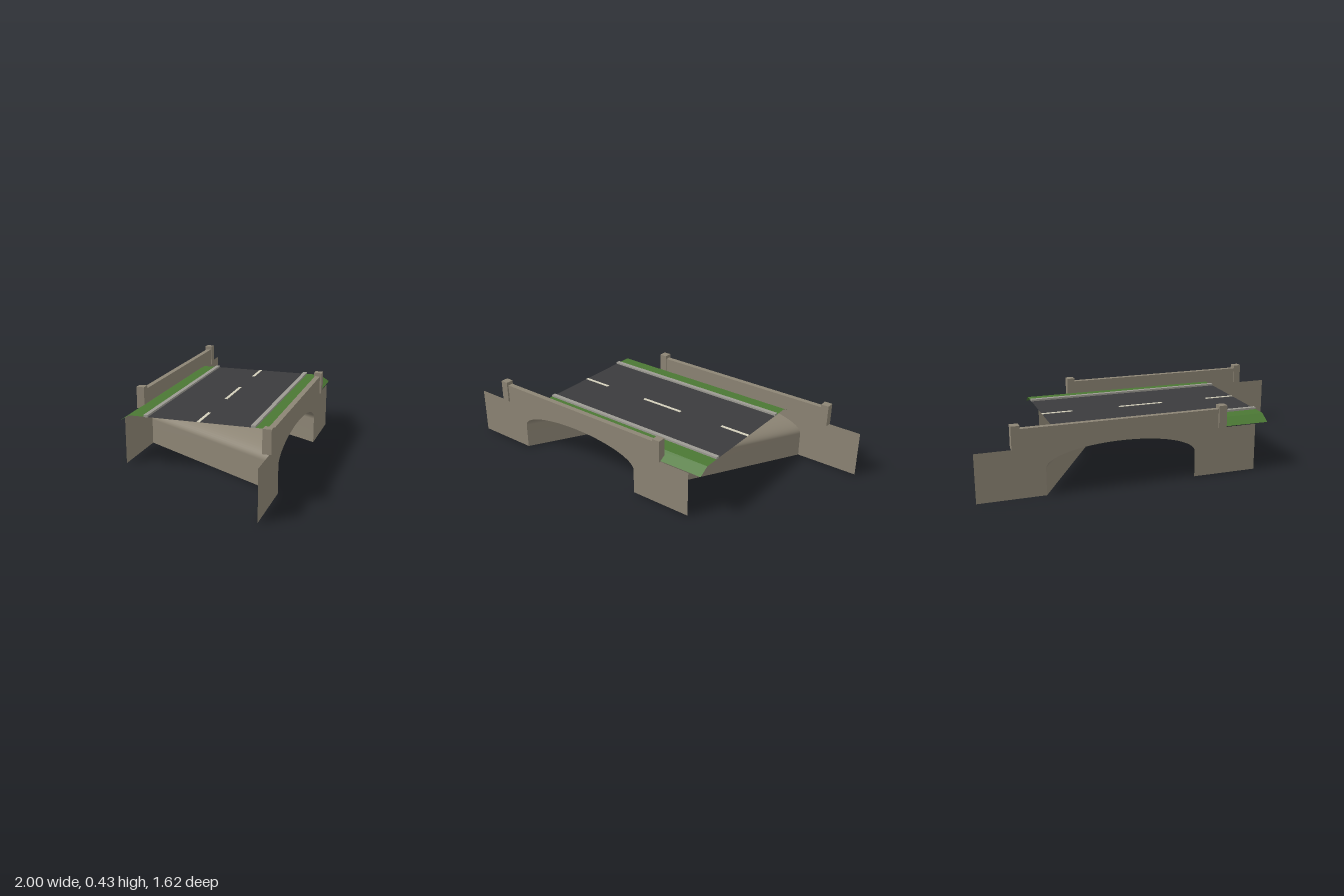
import * as THREE from 'three';

const SKEW = Math.PI / 6;      // road direction against the waterway
const WALL = 0.498;            // half distance between the facades
const SHIFT = WALL * Math.tan(SKEW); // facade centre along the road
const HALF_ROAD = 0.648;
const DECK = 0.335, SPRING = 0.16, CROWN = 0.28, SPAN = 0.393, BANK = 0.292;

const mat = (color) => new THREE.MeshStandardMaterial({ color, side: THREE.DoubleSide });
const stone = mat(0x8c8474), asphalt = mat(0x3b3b3d), grass = mat(0x4b7834);
const kerb = mat(0x9c9a92), paint = mat(0xd4d0bc);

function add(parent, name, geometry, material) {
  const mesh = new THREE.Mesh(geometry, material);
  mesh.name = name;
  parent.add(mesh);
  return mesh;
}

// Box from lower to upper corner
function box(parent, name, a, b, material) {
  const g = new THREE.BoxGeometry(b[0] - a[0], b[1] - a[1], b[2] - a[2]);
  g.translate((a[0] + b[0]) / 2, (a[1] + b[1]) / 2, (a[2] + b[2]) / 2);
  return add(parent, name, g, material);
}

// Sheet spanned between two rows of points
function strip(rowA, rowB) {
  const n = rowA.length, index = [];
  for (let i = 0; i < n - 1; i++) index.push(i, i + 1, n + i, i + 1, n + i + 1, n + i);
  const g = new THREE.BufferGeometry();
  g.setAttribute('position', new THREE.Float32BufferAttribute([...rowA, ...rowB].flat(), 3));
  g.setIndex(index);
  g.computeVertexNormals();
  return g;
}

// Arch outline from one foot to the other: [across, height]
function archPoints(segments = 40) {
  const pts = [[SPAN, 0]];
  for (let i = 0; i <= segments; i++) {
    const a = (i / segments) * Math.PI;
    pts.push([Math.cos(a) * SPAN, SPRING + Math.sin(a) * (CROWN - SPRING)]);
  }
  pts.push([-SPAN, 0]);
  return pts;
}

// One side of the bridge: facade, parapet, posts, verge and kerb
function createSide() {
  const side = new THREE.Group();
  side.name = 'bridgeSide';

  // Facade sheet with the arch cut out of its foot
  const half = 0.853;
  const shape = new THREE.Shape();
  shape.moveTo(-half, 0);
  shape.lineTo(-half, BANK);
  shape.lineTo(half, BANK);
  shape.lineTo(half, 0);
  for (const [z, y] of archPoints()) shape.lineTo(z / Math.cos(SKEW), y);
  shape.closePath();
  const wall = new THREE.ShapeGeometry(shape);
  wall.rotateY(-Math.PI / 2);
  wall.translate(WALL, 0, SHIFT);
  add(side, 'facade', wall, stone);

  // Parapet with an end post at each end
  box(side, 'parapet', [0.465, BANK, SHIFT - 0.61], [WALL, 0.408, SHIFT + 0.61], stone);
  for (const s of [-1, 1]) {
    const t = SHIFT - 0.005 + s * 0.625;
    box(side, 'parapetPost', [0.459, BANK, t - 0.025], [0.509, 0.43, t + 0.025], stone);
  }

  // Grass verge, flat and then falling to the wall
  const section = [[0.335, DECK], [0.432, DECK], [0.496, BANK + 0.003]];
  const row = (z) => section.map(([x, y]) => [x, y, z]);
  const verge = strip(row(HALF_ROAD), row(-HALF_ROAD)).toNonIndexed();
  verge.computeVertexNormals();
  add(side, 'grassVerge', verge, grass);

  box(side, 'kerb', [0.313, DECK - 0.002, -HALF_ROAD], [0.339, 0.347, HALF_ROAD], kerb);
  return side;
}

export function createModel() {
  const model = new THREE.Group();
  model.name = 'skewBridge';
  const bridge = new THREE.Group();
  bridge.name = 'bridge';
  bridge.rotation.y = SKEW;
  model.add(bridge);

  for (const turn of [0, Math.PI]) {
    const side = createSide();
    side.rotation.y = turn;
    bridge.add(side);
  }

  // Road surface and dashed centre line
  const road = new THREE.PlaneGeometry(0.67, HALF_ROAD * 2);
  road.rotateX(-Math.PI / 2);
  road.translate(0, DECK, 0);
  add(bridge, 'roadSurface', road, asphalt);
  for (const [a, b] of [[-HALF_ROAD, -0.455], [-0.147, 0.147], [0.455, HALF_ROAD]]) {
    box(bridge, 'centreDash', [-0.009, DECK, a], [0.009, DECK + 0.003, b], paint);
  }

  // Vault under the road, running along x with skewed ends
  const end = WALL / Math.cos(SKEW);
  const rim = (s) => archPoints().map(([z, y]) => [s * end + z * Math.tan(SKEW), y, z]);
  add(model, 'archVault', strip(rim(1), rim(-1)), stone);

  return model;
}
